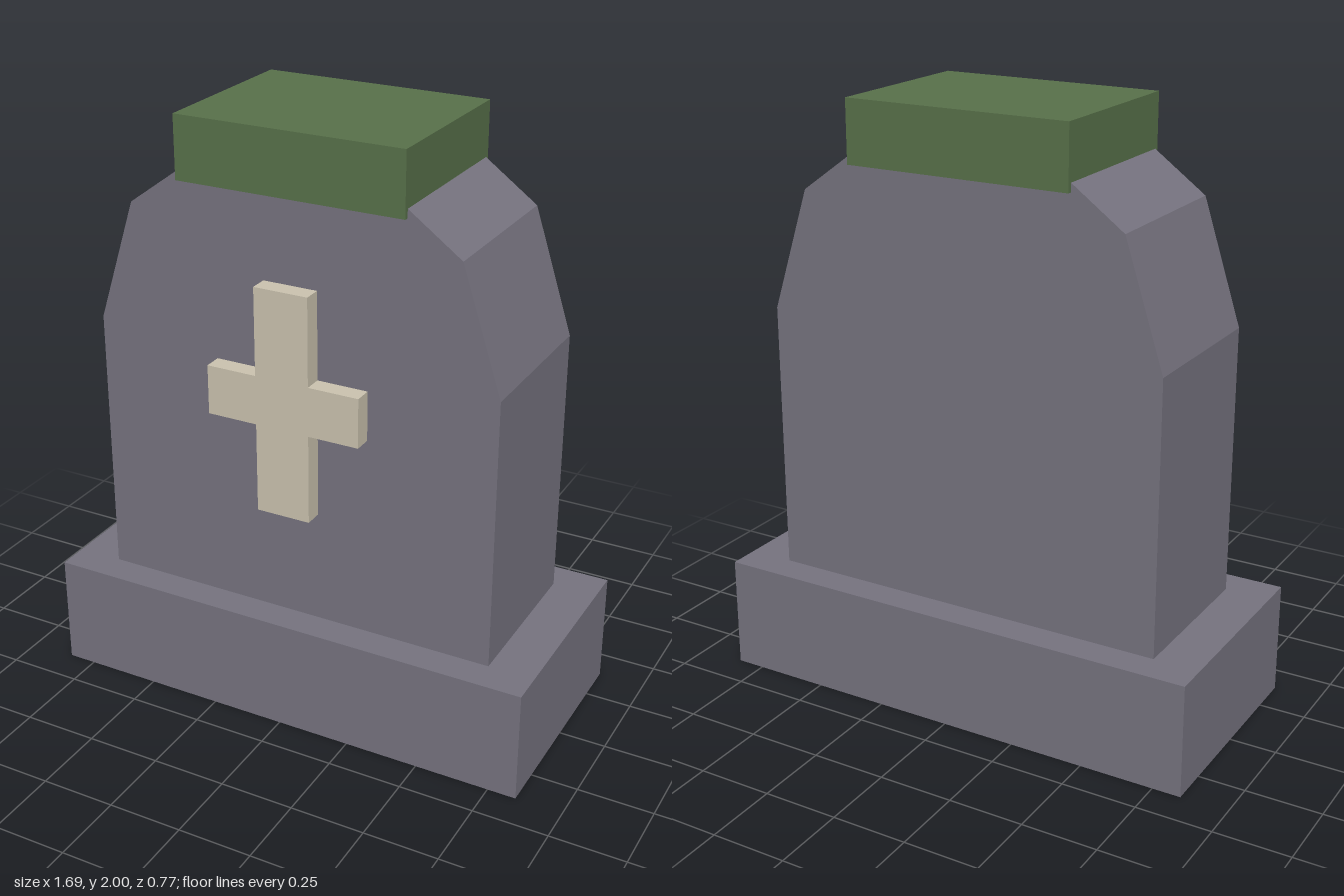
import * as THREE from 'three';

const material = (name, color) => {
  const m = new THREE.MeshStandardMaterial({ color });
  m.name = name;
  return m;
};

export function createModel() {
  const group = new THREE.Group();
  const stone = material('stone', 0x76737f);
  const moss = material('moss', 0x58714a);
  const bone = material('bone', 0xcbc3af);

  const add = (name, geometry, mat, y = 0, z = 0) => {
    const mesh = new THREE.Mesh(geometry, mat);
    mesh.name = name;
    mesh.position.set(0, y, z);
    group.add(mesh);
  };
  const slab = (points, depth) => new THREE.ExtrudeGeometry(
    new THREE.Shape(points.map(([x, y]) => new THREE.Vector2(x, y))),
    { depth, bevelEnabled: false });

  // Plinth
  add('plinth', new THREE.BoxGeometry(1.69, 0.38, 0.766), stone, 0.19);

  // Headstone: straight sides under a five-sided half-round top
  const r = 0.692, spring = 1.288;
  const outline = [[-r, 0.38], [r, 0.38]];
  for (let i = 0; i <= 5; i++) {
    const a = i * Math.PI / 5;
    outline.push([r * Math.cos(a), spring + r * Math.sin(a)]);
  }
  add('headstone', slab(outline, 0.554), stone, 0, -0.277);

  // Moss block capping the top
  add('mossCap', new THREE.BoxGeometry(0.768, 0.206, 0.584), moss, 1.897);

  // Raised cross on the front
  const w = 0.092, arm = 0.263, low = 1.063, high = 1.228, foot = 0.762, head = 1.52;
  add('cross', slab([
    [-w, foot], [w, foot], [w, low], [arm, low], [arm, high], [w, high],
    [w, head], [-w, head], [-w, high], [-arm, high], [-arm, low], [-w, low],
  ], 0.068), bone, 0, 0.27);

  return group;
}
